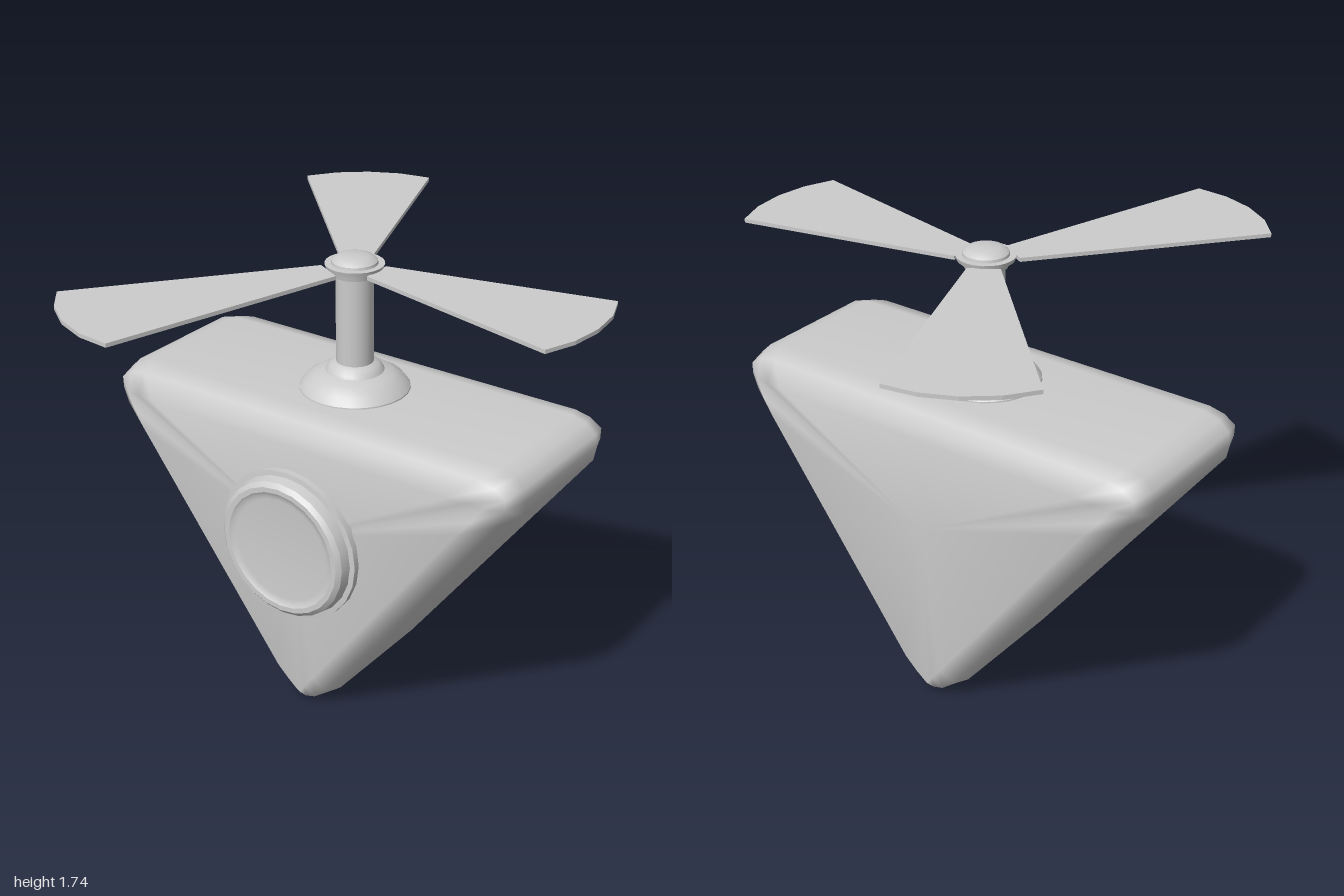
import * as THREE from 'three';
import { toCreasedNormals } from 'three/addons/utils/BufferGeometryUtils.js';

const CX = -0.05, CZ = -0.03;
const material = new THREE.MeshStandardMaterial({ color: 0xcccccc });

function add(parent, name, geometry) {
  const mesh = new THREE.Mesh(geometry, material);
  mesh.name = name;
  parent.add(mesh);
  return mesh;
}

function lathe(points, sides) {
  const profile = points.map(([r, y]) => new THREE.Vector2(r, y));
  return toCreasedNormals(new THREE.LatheGeometry(profile, sides), 0.5);
}

// Left half of a triangular ring (x from the centre line), mirrored to 15 points:
// five at each corner, running left corner, bottom, right corner
function ring(corner, bottom) {
  const mirror = (p) => [-p[0], p[1], p[2]];
  return [...corner, ...bottom, ...bottom.slice(0, 2).reverse().map(mirror), ...[...corner].reverse().map(mirror)];
}

// Rounded triangular prism, lofted through rings from the front face to the back
function bodyGeometry() {
  const outline = ring(
    [[-0.78, 1.23], [-0.84, 1.213], [-0.88, 1.175], [-0.89, 1.135], [-0.878, 1.075]],
    [[-0.105, 0.05], [-0.045, 0.005], [0, 0.005]]);
  const face = ring(
    [[-0.66, 1.14, 0.4], [-0.73, 1.137, 0.39], [-0.795, 1.13, 0.375], [-0.76, 1.075, 0.39], [-0.706, 1.01, 0.4]],
    [[-0.082, 0.17, 0.4], [-0.038, 0.112, 0.39], [0, 0.06, 0.375]]);
  const shoulder = outline.map(([x, y], i) => [
    THREE.MathUtils.lerp(x, face[i][0], 0.25), THREE.MathUtils.lerp(y, face[i][1], 0.25), 0.335]);
  const front = [face, shoulder, outline.map(([x, y]) => [x, y, 0.25])];
  const back = [...front].reverse().map((r) => r.map(([x, y, z]) => [x, y, -z]));
  const rings = [...front, ...back];
  const n = outline.length;
  const positions = rings.flat(2);
  const index = [];
  for (let r = 0; r < rings.length - 1; r++) {
    for (let i = 0; i < n; i++) {
      const j = (i + 1) % n;
      const a = r * n + i, b = r * n + j, c = a + n, d = b + n;
      index.push(a, c, b, b, c, d);
    }
  }
  // Front and back caps
  const frontCentre = positions.length / 3;
  positions.push(0, 0.77, 0.4, 0, 0.77, -0.4);
  const last = (rings.length - 1) * n;
  for (let i = 0; i < n; i++) {
    const j = (i + 1) % n;
    index.push(frontCentre, i, j, frontCentre + 1, last + j, last + i);
  }
  const geometry = new THREE.BufferGeometry();
  geometry.setAttribute('position', new THREE.Float32BufferAttribute(positions, 3));
  geometry.setIndex(index);
  geometry.computeVertexNormals();
  return geometry;
}

// Thin fan blade pointing along +x, with a faceted rounded tip
function bladeGeometry() {
  const shape = new THREE.Shape([
    [0.095, -0.06], [0.93, -0.25], [0.975, -0.13], [0.99, 0],
    [0.975, 0.13], [0.93, 0.25], [0.095, 0.06],
  ].map(([x, y]) => new THREE.Vector2(x, y)));
  return new THREE.ExtrudeGeometry(shape, { depth: 0.015, bevelEnabled: false }).rotateX(-Math.PI / 2);
}

export function createModel() {
  const model = new THREE.Group();
  model.name = 'propellerPod';

  add(model, 'body', bodyGeometry()).position.set(CX, 0, CZ);

  // Round window with flange, sloped rim and shallow recessed pane
  const porthole = add(model, 'porthole', lathe([
    [0.3, -0.02], [0.3, 0.025], [0.28, 0.027], [0.272, 0.065], [0.255, 0.08],
    [0.235, 0.08], [0.222, 0.072], [0.205, 0.07], [0, 0.07],
  ], 24));
  porthole.rotation.x = Math.PI / 2;
  porthole.position.set(CX, 0.745, 0.37);

  const rotor = new THREE.Group();
  rotor.name = 'rotor';
  rotor.position.set(CX, 0, CZ);
  model.add(rotor);

  add(rotor, 'mastBase', lathe([
    [0.21, 1.22], [0.208, 1.235], [0.185, 1.265], [0.145, 1.29], [0.11, 1.3],
    [0.105, 1.31], [0.09, 1.327], [0.07, 1.335],
  ], 24));
  add(rotor, 'mast', new THREE.CylinderGeometry(0.07, 0.07, 0.4, 20)).position.y = 1.5;
  add(rotor, 'hub', lathe([
    [0, 1.673], [0.08, 1.673], [0.085, 1.695], [0.105, 1.7], [0.11, 1.717],
    [0.086, 1.717], [0.084, 1.727], [0.07, 1.739], [0.05, 1.745], [0, 1.747],
  ], 24));

  // Three blades: angle in degrees and length factor
  const blade = bladeGeometry();
  [[0, 1], [122.3, 1.07], [-117.8, 1.11]].forEach(([angle, length], i) => {
    const mesh = add(rotor, 'blade' + (i + 1), blade);
    mesh.position.y = 1.69;
    mesh.rotation.y = THREE.MathUtils.degToRad(angle);
    mesh.scale.x = length;
  });

  return model;
}
